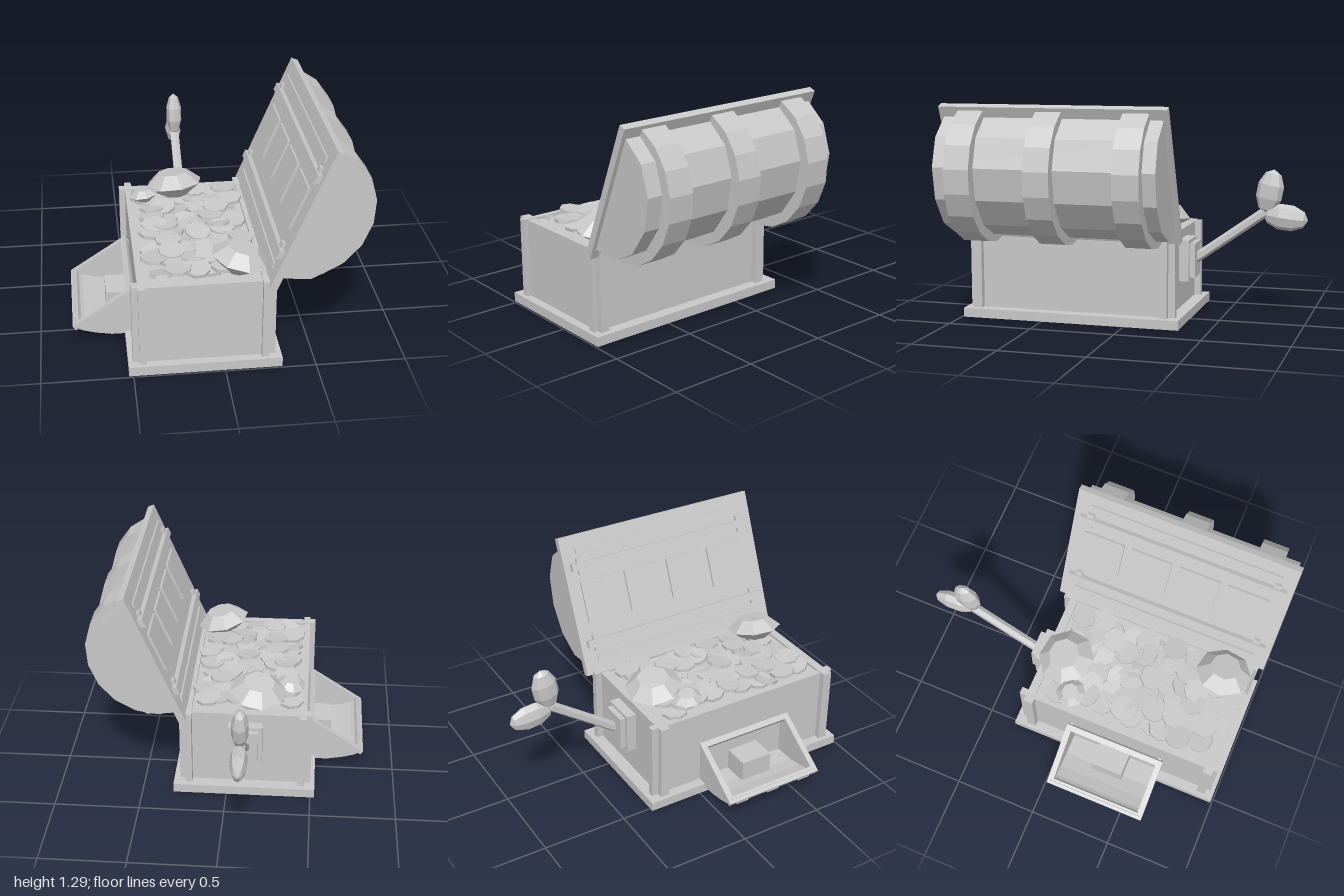
import * as THREE from 'three';

const grey = new THREE.MeshStandardMaterial({ color: 0xc8c8c8, flatShading: true });
grey.name = 'plain grey';

function add(parent, name, geometry, x = 0, y = 0, z = 0) {
  const mesh = new THREE.Mesh(geometry, grey);
  mesh.name = name;
  mesh.position.set(x, y, z);
  parent.add(mesh);
  return mesh;
}

// Box given by its limits on each axis
function block(parent, name, x0, x1, y0, y1, z0, z1) {
  return add(parent, name, new THREE.BoxGeometry(x1 - x0, y1 - y0, z1 - z0),
    (x0 + x1) / 2, (y0 + y1) / 2, (z0 + z1) / 2);
}

// Outline in x and y, drawn out from z0 to z1
function prism(parent, name, points, z0, z1) {
  const shape = new THREE.Shape(points.map(p => new THREE.Vector2(p[0], p[1])));
  return add(parent, name, new THREE.ExtrudeGeometry(shape, { depth: z1 - z0, bevelEnabled: false }), 0, 0, z0);
}

function halfEllipse(cx, depth, half, segments) {
  const pts = [];
  for (let i = 0; i <= segments; i++) {
    const a = -Math.PI / 2 + Math.PI * i / segments;
    pts.push([cx + depth * Math.cos(a), half * Math.sin(a)]);
  }
  return pts;
}

function group(parent, name, x = 0, y = 0, z = 0) {
  const g = new THREE.Group();
  g.name = name;
  g.position.set(x, y, z);
  parent.add(g);
  return g;
}

function gem(parent, name, r, x, y, z, rx, rz) {
  const profile = [[0, -0.75], [1, 0], [0.55, 0.4], [0, 0.4]].map(p => new THREE.Vector2(p[0] * r, p[1] * r));
  add(parent, name, new THREE.LatheGeometry(profile, 8), x, y, z).rotation.set(rx, 0.2, rz);
}

function buildBody(root) {
  const body = group(root, 'chestBody');
  block(body, 'basePlate', -0.525, 0.315, 0, 0.055, -0.325, 0.99);
  block(body, 'leftWall', 0.21, 0.245, 0.05, 0.52, -0.25, 0.94);
  block(body, 'rightWall', -0.465, -0.43, 0.05, 0.52, -0.25, 0.94);
  block(body, 'frontWall', -0.43, 0.21, 0.05, 0.52, 0.89, 0.94);
  block(body, 'backWall', -0.43, 0.21, 0.05, 0.52, -0.25, -0.2);
  block(body, 'treasureBed', -0.43, 0.21, 0.05, 0.505, -0.2, 0.89);
  // Two crossed planks at each corner
  for (const [x0, x1, x2] of [[-0.5, -0.465, -0.425], [0.28, 0.245, 0.205]]) {
    for (const [z0, z1, z2] of [[0.965, 0.94, 0.885], [-0.29, -0.25, -0.195]]) {
      const box = (name, a, b, c, d) => block(body, name, Math.min(a, b), Math.max(a, b), 0.05, 0.525, Math.min(c, d), Math.max(c, d));
      box('cornerPostSide', x0, x2, z1, z2);
      box('cornerPostEnd', x1, x2, z0, z2);
    }
  }
}

function buildLid(root) {
  // Local x points out of the lid, local y runs from hinge to free edge
  const lid = group(root, 'lid', 0.396, 0.8965, 0);
  lid.rotation.z = -0.4;
  block(lid, 'lidRim', 0, 0.042, -0.422, 0.422, -0.33, 0.995);
  prism(lid, 'lidBarrel', halfEllipse(0.04, 0.31, 0.36, 6), -0.305, 0.97);
  for (const z of [-0.23, 0.27, 0.73]) prism(lid, 'lidBand', halfEllipse(0.04, 0.375, 0.4, 9), z, z + 0.15);
  // Bars and panels on the inner face
  for (const y of [-0.235, 0.235]) {
    block(lid, 'innerBar', -0.03, 0.01, y - 0.022, y + 0.022, -0.29, 0.96);
    for (const z of [-0.25, 0.88]) block(lid, 'barBracket', -0.02, 0.01, y - 0.05, y + 0.05, z, z + 0.04);
  }
  for (const y of [-0.33, 0.33]) block(lid, 'innerTrim', -0.012, 0.01, y - 0.015, y + 0.015, -0.24, 0.91);
  for (let i = 0; i < 4; i++) {
    const z = -0.25 + i * 0.295;
    block(lid, 'innerPanel', -0.015, 0.01, -0.11, 0.14, z, z + 0.25);
  }
}

function buildScoop(root) {
  const scoop = group(root, 'sideTray');
  const outer = [[-0.81, 0.1], [-0.76, 0.073], [-0.69, 0.053], [-0.6, 0.037], [-0.465, 0.036]];
  const inner = outer.map(([x, y]) => [x + 0.012, y + 0.025]).reverse();
  prism(scoop, 'trayBottom', [...outer, ...inner], 0.035, 0.625);
  for (const z of [0.035, 0.605]) prism(scoop, 'trayEnd', [...outer, [-0.465, 0.315]], z, z + 0.02);
  for (const z of [0.07, 0.28, 0.5]) {
    prism(scoop, 'trayRib', [...outer.map(([x, y]) => [x, y - 0.012]), ...outer.slice().reverse()], z, z + 0.08);
  }
  // Sloping rim frame
  const rim = group(scoop, 'trayRim', -0.817, 0.11, 0);
  rim.rotation.z = 0.582;
  for (const z of [0.02, 0.605]) block(rim, 'rimSide', 0, 0.4, -0.028, 0, z, z + 0.035);
  block(rim, 'rimLip', 0, 0.04, -0.028, 0, 0.05, 0.61);
  block(rim, 'rimTop', 0.365, 0.4, -0.028, 0, 0.05, 0.61);
  block(scoop, 'trayBlock', -0.62, -0.46, 0.05, 0.19, 0.235, 0.43);
}

function buildKey(root) {
  const key = group(root, 'windingKey', -0.11, 0, 0);
  block(key, 'keyBackPlate', -0.1, 0.1, 0.22, 0.465, -0.31, -0.245);
  block(key, 'keyFrontPlate', -0.077, 0.077, 0.24, 0.445, -0.342, -0.3);
  const from = new THREE.Vector3(0, 0.335, -0.315), to = new THREE.Vector3(0, 0.64, -0.745);
  const dir = to.clone().sub(from);
  const shaft = add(key, 'keyShaft', new THREE.CylinderGeometry(0.03, 0.03, dir.length(), 6));
  shaft.position.copy(from).add(to).multiplyScalar(0.5);
  shaft.quaternion.setFromUnitVectors(new THREE.Vector3(0, 1, 0), dir.normalize());
  // Two leaf-shaped lobes
  for (const [y, z, tilt] of [[0.762, -0.77, -0.2], [0.612, -0.865, -1.68]]) {
    const lobe = add(key, 'keyLobe', new THREE.SphereGeometry(1, 8, 5), 0, y, z);
    lobe.scale.set(0.05, 0.132, 0.08);
    lobe.rotation.x = tilt;
  }
}

function buildTreasure(root) {
  const treasure = group(root, 'treasure');
  let seed = 7;
  const rand = () => (seed = (seed * 16807) % 2147483647) / 2147483647;
  // Loose coins in jittered rows
  const coin = new THREE.CylinderGeometry(0.075, 0.075, 0.02, 8);
  for (let row = 0; row < 10; row++) {
    for (let col = 0; col < 6; col++) {
      const x = -0.345 + col * 0.094 + (rand() - 0.5) * 0.05;
      const z = -0.11 + row * 0.1 + (rand() - 0.5) * 0.06;
      const c = add(treasure, 'coin', coin, x, 0.515 + rand() * 0.035, z);
      c.rotation.set((rand() - 0.5) * 0.35, rand() * 3, (rand() - 0.5) * 0.35);
    }
  }
  gem(treasure, 'largeBackGem', 0.17, -0.175, 0.6, -0.11, -0.2, 0.1);
  gem(treasure, 'largeFrontGem', 0.165, 0.1, 0.585, 0.785, 0.05, -0.25);
  gem(treasure, 'smallGem', 0.088, -0.365, 0.59, 0, -0.15, 0.15);
}

export function createModel() {
  const root = new THREE.Group();
  root.name = 'treasureChest';
  buildBody(root);
  buildLid(root);
  buildScoop(root);
  buildKey(root);
  buildTreasure(root);
  return root;
}
